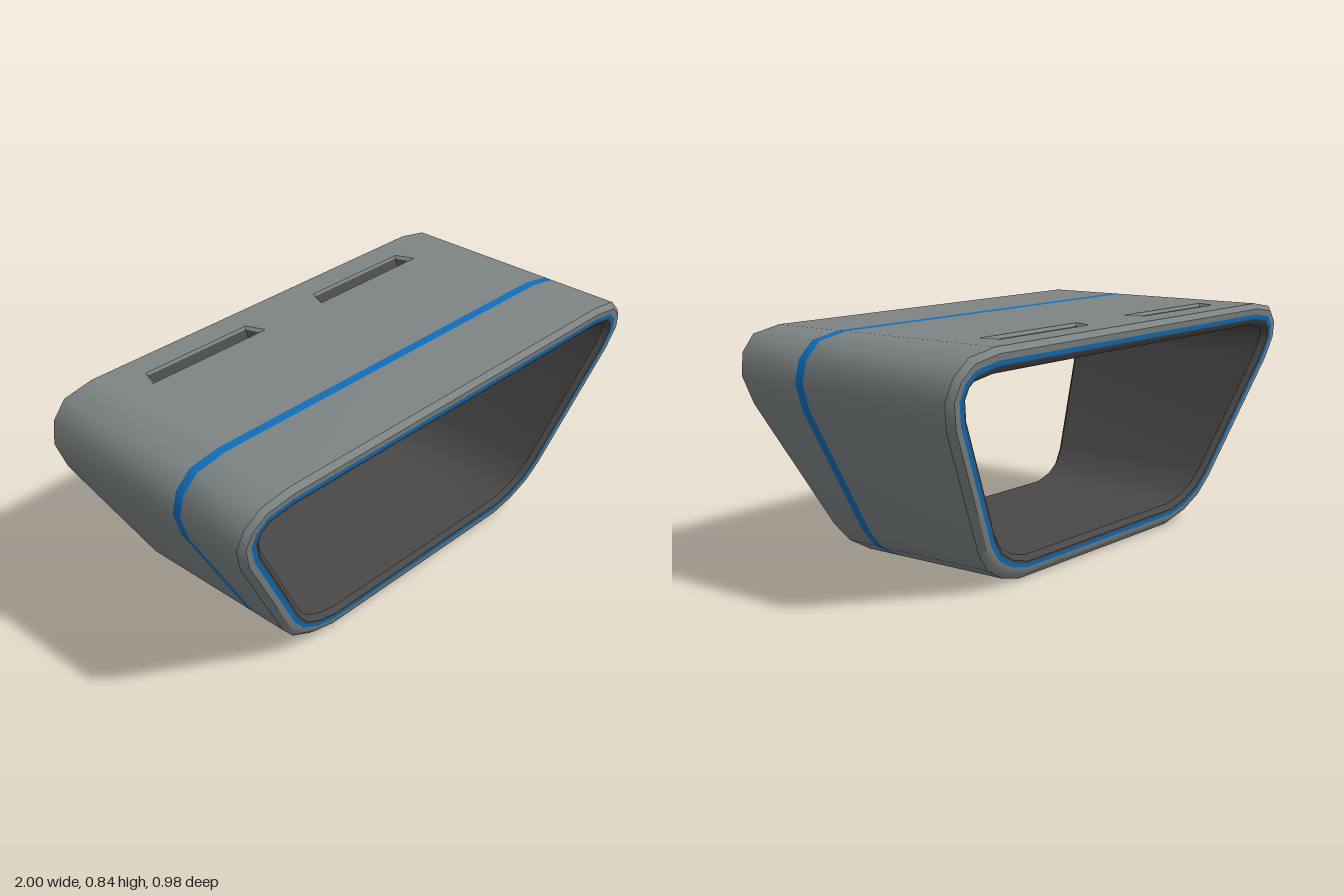
import * as THREE from 'three';
import { toCreasedNormals } from 'three/addons/utils/BufferGeometryUtils.js';

// Right half of the outer outline, from the top edge down to the base
const HALF = [[0.8, 0.84], [0.92, 0.82], [0.98, 0.765], [1, 0.69], [0.97, 0.595],
  [0.71, 0.145], [0.65, 0.075], [0.56, 0.025], [0.46, 0]];
const OUTLINE = [...HALF, ...HALF.map(([x, y]) => [-x, y]).reverse()]
  .map(([x, y]) => new THREE.Vector2(x, y));
const TOP_EDGE = OUTLINE.length - 1;
const TOP_Y = 0.84;

// Outline moved inwards by d with mitred corners
function inset(d) {
  const n = OUTLINE.length;
  const inward = (a, b) => {
    const e = b.clone().sub(a).normalize();
    return new THREE.Vector2(e.y, -e.x);
  };
  return OUTLINE.map((p, i) => {
    const n1 = inward(OUTLINE[(i + n - 1) % n], p);
    const n2 = inward(p, OUTLINE[(i + 1) % n]);
    const m = n1.clone().add(n2);
    return p.clone().addScaledVector(m, d / (1 + n1.dot(n2)));
  });
}

// Ring on the sloping end: side is +1 front or -1 back
const endRing = (side, d, recess = 0) => inset(d).map(
  (p) => new THREE.Vector3(p.x, p.y, side * (0.316 + 0.2125 * p.y - recess)));
const flatRing = (z) => OUTLINE.map((p) => new THREE.Vector3(p.x, p.y, z));

// Skin through closed rings; one edge of the loop can be left open
function loft(rings, skip = -1) {
  const pos = [];
  for (let i = 0; i < rings.length - 1; i++) {
    const a = rings[i], b = rings[i + 1], n = a.length;
    for (let j = 0; j < n; j++) {
      if (j === skip) continue;
      const k = (j + 1) % n;
      for (const v of [a[j], b[j], a[k], a[k], b[j], b[k]]) pos.push(v.x, v.y, v.z);
    }
  }
  const geo = new THREE.BufferGeometry();
  geo.setAttribute('position', new THREE.Float32BufferAttribute(pos, 3));
  return toCreasedNormals(geo, 0.72);
}

// Trapezoid ring of a vent, wider towards the front
const ventRing = (cx, y, front, zFront, back, zBack) => [
  [cx + front, zFront], [cx - front, zFront], [cx - back, zBack], [cx + back, zBack],
].map(([x, z]) => new THREE.Vector3(x, y, z));

export function createModel() {
  const shellGrey = new THREE.MeshStandardMaterial({ color: 0x7e8484 });
  const innerGrey = new THREE.MeshStandardMaterial({ color: 0x484848 });
  const trimBlue = new THREE.MeshStandardMaterial({ color: 0x0f6ebc });
  shellGrey.name = 'shellGrey';
  innerGrey.name = 'innerGrey';
  trimBlue.name = 'trimBlue';

  const group = new THREE.Group();
  group.name = 'bench';
  const add = (name, geo, mat) => {
    const mesh = new THREE.Mesh(geo, mat);
    mesh.name = name;
    group.add(mesh);
  };

  // Outer shell in front of and behind the stripe
  add('frontShell', loft([flatRing(0.19), endRing(1, 0, 0.02)]), shellGrey);
  add('backShell', loft([endRing(-1, 0, 0.02), flatRing(0.155)], TOP_EDGE), shellGrey);
  add('wrapStripe', loft([flatRing(0.155), flatRing(0.19)]), trimBlue);

  // Bevelled rims with an inlaid trim line at both ends
  for (const side of [1, -1]) {
    const name = side > 0 ? 'front' : 'back';
    const ordered = (rings) => loft(side > 0 ? rings : rings.reverse());
    add(name + 'Rim', ordered([endRing(side, 0, 0.02), endRing(side, 0.02),
      endRing(side, 0.042)]), shellGrey);
    add(name + 'TrimLine', ordered([endRing(side, 0.042), endRing(side, 0.058)]), trimBlue);
    add(name + 'InnerBevel', ordered([endRing(side, 0.058), endRing(side, 0.066),
      endRing(side, 0.085, 0.02)]), innerGrey);
  }
  add('innerTunnel', loft([endRing(1, 0.085, 0.02), endRing(-1, 0.085, 0.02)]), innerGrey);

  // Flat top panel with two vent openings
  const panel = new THREE.Shape([[-0.8, -0.155], [0.8, -0.155], [0.8, 0.4745], [-0.8, 0.4745]]
    .map(([x, y]) => new THREE.Vector2(x, y)));
  for (const cx of [-0.41, 0.41]) {
    const mouth = ventRing(cx, TOP_Y, 0.265, -0.303, 0.235, -0.375);
    panel.holes.push(new THREE.Path(mouth.map((v) => new THREE.Vector2(v.x, -v.z))));
    const lip = ventRing(cx, TOP_Y - 0.01, 0.25, -0.31, 0.228, -0.37);
    const floor = ventRing(cx, TOP_Y - 0.04, 0.245, -0.312, 0.222, -0.348);
    const centre = ventRing(cx, TOP_Y - 0.04, 0, -0.33, 0, -0.33);
    const name = cx > 0 ? 'left' : 'right';
    add(name + 'VentLip', loft([mouth, lip]), shellGrey);
    add(name + 'VentRecess', loft([lip, floor, centre]), innerGrey);
  }
  const top = new THREE.ShapeGeometry(panel);
  top.rotateX(-Math.PI / 2);
  top.translate(0, TOP_Y, 0);
  add('topPanel', top, shellGrey);

  return group;
}
